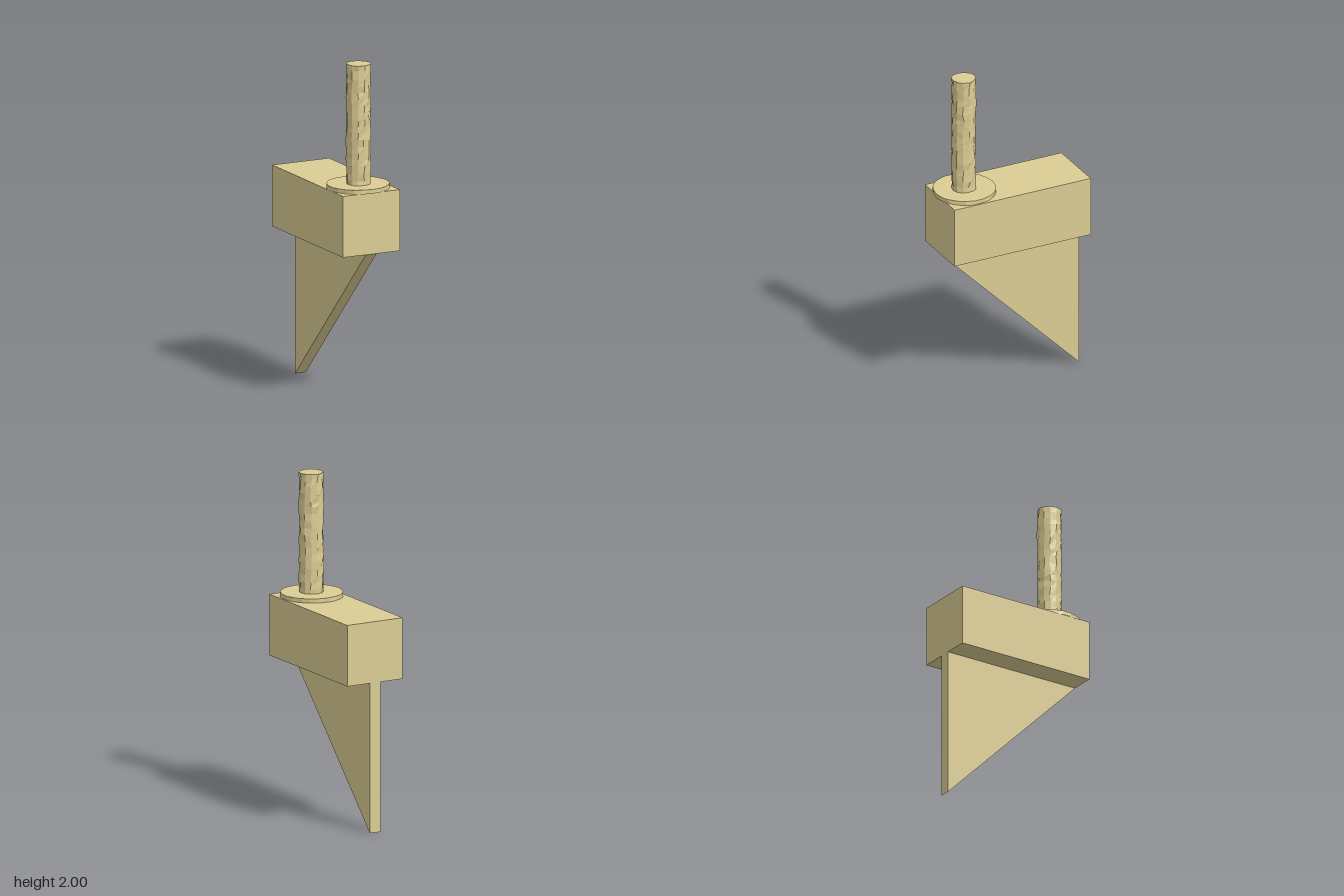
import * as THREE from 'three';

const material = new THREE.MeshStandardMaterial({ color: 0xdccd94, flatShading: true });

// Repeatable value in -1..1 from a position, so shared corners move together
function noise(x, y, z, seed) {
  const q = (v) => Math.round(v * 1000);
  const s = Math.sin(q(x) * 12.9898 + q(y) * 78.233 + q(z) * 37.719 + seed * 4.1) * 43758.5453;
  return (s - Math.floor(s)) * 2 - 1;
}

// Hand-carved cylinder: corners shift slightly, the end faces stay flat
function carvedCylinder(radius, height, sides, rings, rough, drift) {
  const geometry = new THREE.CylinderGeometry(radius, radius, height, sides, rings);
  const p = geometry.attributes.position;
  for (let i = 0; i < p.count; i++) {
    const x = p.getX(i), y = p.getY(i), z = p.getZ(i);
    if (Math.hypot(x, z) < 1e-6) continue;
    const scale = 1 + rough * noise(x, y, z, 1);
    const turn = (noise(x, y, z, 2) * 0.3 * Math.PI) / sides;
    const c = Math.cos(turn) * scale, s = Math.sin(turn) * scale;
    const inner = Math.abs(y) < height / 2 - 1e-4;
    p.setXYZ(i, x * c - z * s, inner ? y + drift * noise(x, y, z, 3) : y, x * s + z * c);
  }
  geometry.computeVertexNormals();
  return geometry;
}

export function createModel() {
  const model = new THREE.Group();
  const add = (name, geometry, x, y, z) => {
    const mesh = new THREE.Mesh(geometry, material);
    mesh.name = name;
    mesh.position.set(x, y, z);
    model.add(mesh);
  };

  // Main block
  add('block', new THREE.BoxGeometry(0.372, 0.365, 0.89), 0.001, 1.0775, -0.012);

  // Thin triangular fin below the block, deepest at the back
  const outline = new THREE.Shape([
    new THREE.Vector2(0.433, 0.895),
    new THREE.Vector2(-0.457, 0.895),
    new THREE.Vector2(-0.457, 0),
  ]);
  const fin = new THREE.ExtrudeGeometry(outline, { depth: 0.07, bevelEnabled: false });
  fin.translate(0, 0, -0.035).rotateY(-Math.PI / 2);
  add('fin', fin, 0, 0, 0);

  // Collar disc and upright rod near the front
  add('collar', carvedCylinder(0.184, 0.025, 22, 1, 0.01, 0), -0.003, 1.2735, 0.271);
  add('rod', carvedCylinder(0.0715, 0.725, 12, 18, 0.045, 0.01), -0.002, 1.6375, 0.276);

  return model;
}
